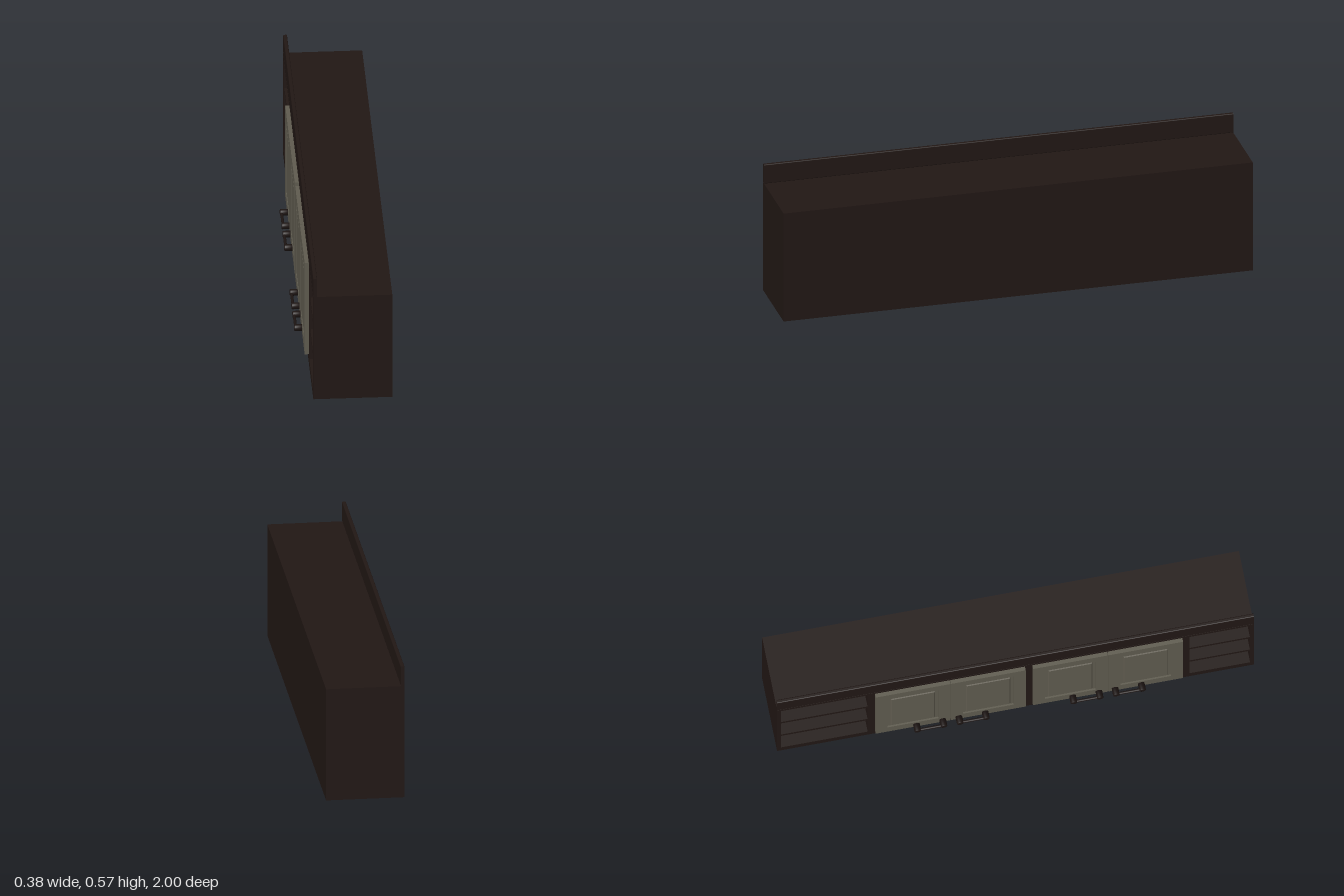
import * as THREE from 'three';

const dark = new THREE.MeshStandardMaterial({ color: 0x211714 });
const paint = new THREE.MeshStandardMaterial({ color: 0x5f5b4f });
const metal = new THREE.MeshStandardMaterial({ color: 0x1c1412 });

const FRONT = -0.138, BACK = 0.188, HEIGHT = 0.487;

function add(parent, name, geometry, material) {
  const mesh = new THREE.Mesh(geometry, material);
  mesh.name = name;
  parent.add(mesh);
  return mesh;
}

// Box given by its limits on each axis
function board(parent, name, [x0, x1], [y0, y1], [z0, z1], material = dark) {
  const mesh = add(parent, name, new THREE.BoxGeometry(x1 - x0, y1 - y0, z1 - z0), material);
  mesh.position.set((x0 + x1) / 2, (y0 + y1) / 2, (z0 + z1) / 2);
  return mesh;
}

function rect(Type, w, h) {
  const p = new Type();
  p.moveTo(-w / 2, -h / 2);
  p.lineTo(w / 2, -h / 2);
  p.lineTo(w / 2, h / 2);
  p.lineTo(-w / 2, h / 2);
  p.closePath();
  return p;
}

// Door with a frame, a sunk groove and a raised field; its face looks along local +z
function makeDoor(w, h) {
  const door = new THREE.Group();
  door.name = 'door';
  const margin = 0.05, groove = 0.014, depth = 0.017;
  const frame = rect(THREE.Shape, w, h);
  frame.holes.push(rect(THREE.Path, w - 2 * margin, h - 2 * margin));
  add(door, 'doorFrame', new THREE.ExtrudeGeometry(frame, { depth, bevelEnabled: false }), paint);
  const back = add(door, 'doorPanel', new THREE.BoxGeometry(w - 2 * margin, h - 2 * margin, 0.01), paint);
  back.position.z = 0.005;
  const bevel = 0.004;
  const inset = 2 * (margin + groove + bevel);
  const field = add(door, 'raisedField', new THREE.ExtrudeGeometry(
    rect(THREE.Shape, w - inset, h - inset),
    { depth: 0.002, bevelSize: bevel, bevelThickness: bevel, bevelSegments: 1 }), paint);
  field.position.z = 0.01;
  return door;
}

// Pull handle: two round posts joined by a slim bar
function makeHandle(length) {
  const handle = new THREE.Group();
  handle.name = 'handle';
  const r = 0.014, reach = 0.033;
  const profile = [[0, 0], [r, 0], [r, reach - 0.004], [r - 0.001, reach - 0.001], [r - 0.004, reach], [0, reach]]
    .map(([x, y]) => new THREE.Vector2(x, y));
  for (const side of [-1, 1]) {
    const post = add(handle, 'handlePost', new THREE.LatheGeometry(profile, 20), metal);
    post.rotation.x = Math.PI / 2;
    post.position.x = side * (length / 2 - r);
  }
  const bar = add(handle, 'handleBar', new THREE.CylinderGeometry(0.006, 0.006, length - 2 * r, 12), metal);
  bar.rotation.z = Math.PI / 2;
  bar.position.z = reach - 0.007;
  return handle;
}

export function createModel() {
  const cabinet = new THREE.Group();
  cabinet.name = 'wallCabinet';
  const t = 0.016, floor = 0.035, ceiling = HEIGHT - t;
  const depth = [FRONT, BACK], inside = [FRONT, BACK - t], rise = [floor, ceiling];

  // Carcass
  board(cabinet, 'bottomBoard', depth, [0, floor], [-1, 1]);
  board(cabinet, 'topBoard', depth, [ceiling, HEIGHT], [-1, 1]);
  board(cabinet, 'backBoard', [BACK - t, BACK], rise, [-1, 1]);
  const walls = [[-1, -1 + t], [-0.62, -0.585], [0.02, 0.09], [0.695, 0.73], [1 - t, 1]];
  walls.forEach((z, i) => board(cabinet, i % 4 ? 'divider' : 'endBoard', inside, rise, z));

  // Open shelves at both ends
  for (const z of [[-1 + t, -0.62], [0.73, 1 - t]]) {
    for (const y of [0.17, 0.32]) {
      board(cabinet, 'shelf', [FRONT + 0.004, BACK - t], [y - 0.008, y + 0.008], z);
    }
  }

  // Upright trim along the top front edge, with rounded corners
  const w = 0.008, h = 0.043, r = 0.004;
  const trim = new THREE.Shape();
  trim.absarc(w - r, h - r, r, 0, Math.PI / 2);
  trim.absarc(-w + r, h - r, r, Math.PI / 2, Math.PI);
  trim.absarc(-w + r, -h + r, r, Math.PI, Math.PI * 1.5);
  trim.absarc(w - r, -h + r, r, Math.PI * 1.5, Math.PI * 2);
  const trimMesh = add(cabinet, 'topTrim', new THREE.ExtrudeGeometry(trim,
    { depth: 2, bevelEnabled: false, curveSegments: 5 }), dark);
  trimMesh.position.set(FRONT + w, HEIGHT + h, -1);

  // Two pairs of doors, each with handles near the meeting edge
  const doorW = 0.3135, doorH = 0.435, doorY = 0.2575;
  for (const [middle, pulls] of [[-0.275, [-0.364, -0.186]], [0.385, [0.291, 0.469]]]) {
    for (const side of [-1, 1]) {
      const door = makeDoor(doorW, doorH);
      door.rotation.y = -Math.PI / 2;
      door.position.set(FRONT, doorY, middle + side * 0.158);
      cabinet.add(door);
    }
    for (const z of pulls) {
      const handle = makeHandle(0.138);
      handle.rotation.y = -Math.PI / 2;
      handle.position.set(FRONT - 0.017, 0.066, z);
      cabinet.add(handle);
    }
  }
  return cabinet;
}
